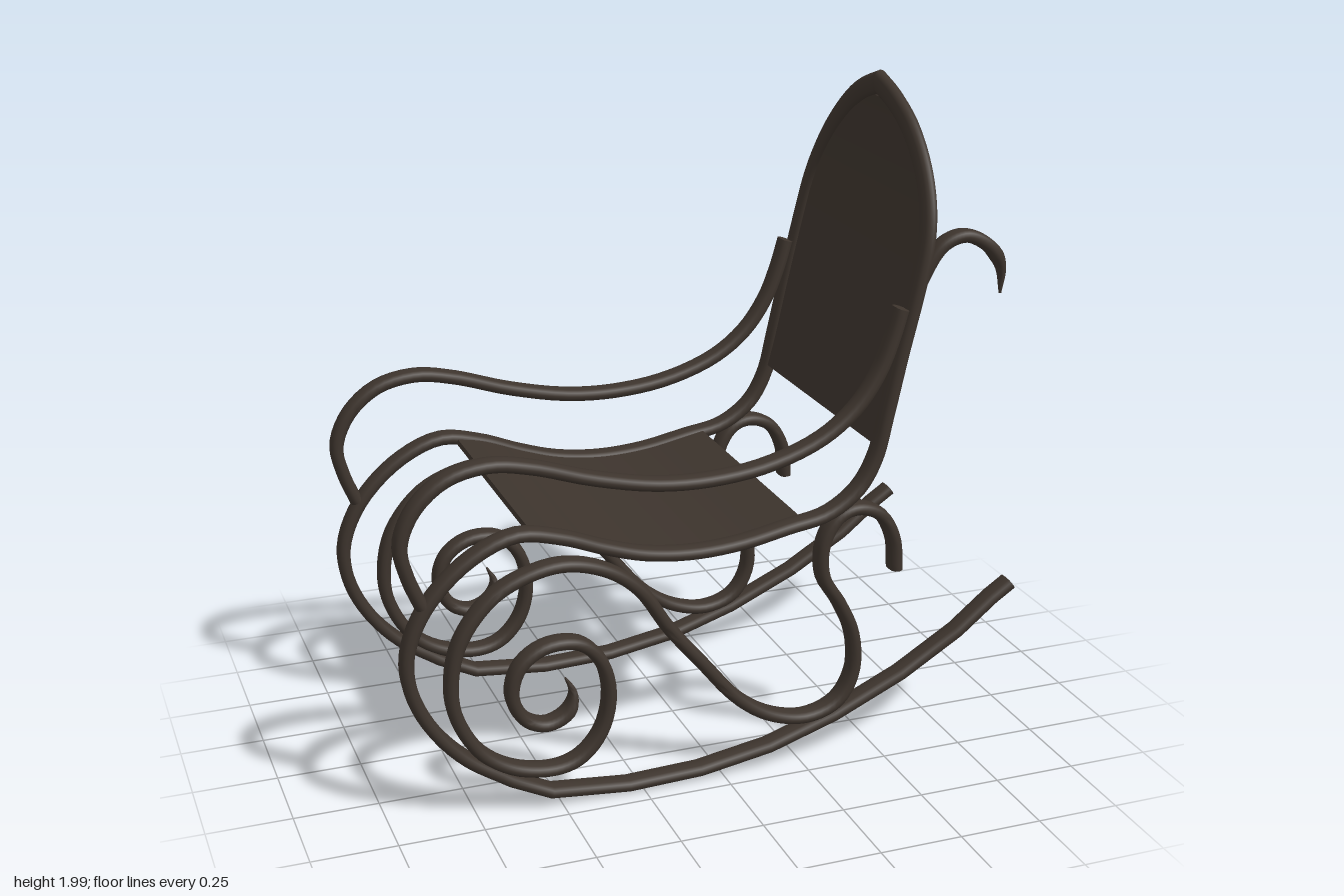
import * as THREE from 'three';
import { toCreasedNormals } from 'three/addons/utils/BufferGeometryUtils.js';

const RAIL_Z = 0.42;

// Cross-sections as [thin, wide] unit offsets
const ROUND = Array.from({ length: 12 }, (_, i) => {
  const a = (i / 12) * Math.PI * 2;
  const soft = (v) => Math.sign(v) * Math.abs(v) ** 0.8;
  return [soft(Math.cos(a)), soft(Math.sin(a))];
});
const FLAT = [[1, -1], [1, 1], [-1, 1], [-1, -1]];

// Sweeps a section along points; the thin axis stays in the xy plane.
// Size functions take the fraction along the path.
function sweep(pts, section, thin, wide, miter = false) {
  const pos = [], idx = [], n = section.length, last = pts.length - 1;
  pts.forEach((p, i) => {
    const T = pts[Math.min(i + 1, last)].clone().sub(pts[Math.max(i - 1, 0)]).normalize();
    const N = new THREE.Vector3(T.y, -T.x, 0).normalize();
    const W = T.clone().cross(N);
    for (const [a, b] of section) {
      const v = p.clone().addScaledVector(N, a * thin(i / last)).addScaledVector(W, b * wide(i / last));
      // the first ring is cut on the centre plane
      if (miter && i === 0) v.addScaledVector(T, -v.z / T.z);
      pos.push(v.x, v.y, v.z);
    }
  });
  for (let i = 0; i < last; i++) {
    for (let j = 0; j < n; j++) {
      const a = i * n + j, b = i * n + ((j + 1) % n);
      idx.push(a, b, a + n, b, b + n, a + n);
    }
  }
  // end caps
  for (let j = 1; j < n - 1; j++) {
    idx.push(0, j + 1, j, last * n, last * n + j, last * n + j + 1);
  }
  const g = new THREE.BufferGeometry();
  g.setAttribute('position', new THREE.Float32BufferAttribute(pos, 3));
  g.setIndex(idx);
  return toCreasedNormals(g, 0.9);
}

// [x, y] or [x, y, z] lists to vectors on one side
const vecs = (list, side) =>
  list.map(([x, y, z = RAIL_Z]) => new THREE.Vector3(x, y, z * side));
const smooth = (v, count) => new THREE.CatmullRomCurve3(v, false, 'centripetal').getPoints(count);

// Half of the back arch, back post, seat rail and front bow
const FRAME = [
  [0.655, 1.965, 0], [0.655, 1.93, 0.1], [0.655, 1.87, 0.205], [0.648, 1.78, 0.305],
  [0.637, 1.69, 0.37], [0.622, 1.6, 0.407], [0.597, 1.48], [0.545, 1.26], [0.505, 1.08],
  [0.473, 0.95], [0.42, 0.86], [0.325, 0.795], [0.2, 0.77], [0.05, 0.742], [-0.1, 0.735],
  [-0.24, 0.752], [-0.36, 0.788], [-0.49, 0.837], [-0.62, 0.86], [-0.76, 0.8], [-0.88, 0.68],
  [-0.935, 0.55], [-0.93, 0.44], [-0.88, 0.32], [-0.785, 0.205], [-0.65, 0.11],
];
// Rocker, left slightly faceted
const ROCKER = [
  [-0.53, 0.05], [-0.295, 0.027], [-0.07, 0.035], [0.15, 0.072], [0.36, 0.14],
  [0.58, 0.24], [0.765, 0.352], [0.88, 0.445], [0.94, 0.485],
];
const ARMREST = [
  [-0.89, 0.69], [-0.925, 0.78], [-0.942, 0.875], [-0.9, 0.975], [-0.81, 1.05], [-0.69, 1.075],
  [-0.57, 1.055], [-0.39, 0.998], [-0.2, 0.957], [-0.03, 0.95], [0.14, 0.972], [0.3, 1.03],
  [0.405, 1.11], [0.475, 1.21], [0.515, 1.31], [0.54, 1.395],
];
// Spiral, S-bend and rear crook
const SCROLL = [
  [-0.48, 0.4], [-0.458, 0.35], [-0.475, 0.295], [-0.54, 0.267], [-0.605, 0.295], [-0.64, 0.375],
  [-0.615, 0.46], [-0.54, 0.51], [-0.44, 0.505], [-0.375, 0.44], [-0.35, 0.335], [-0.375, 0.22],
  [-0.44, 0.145], [-0.52, 0.122], [-0.64, 0.145], [-0.735, 0.21], [-0.8, 0.325], [-0.815, 0.43],
  [-0.785, 0.565], [-0.69, 0.685], [-0.575, 0.74], [-0.47, 0.752], [-0.35, 0.715], [-0.255, 0.64],
  [-0.165, 0.505], [-0.06, 0.375], [0.05, 0.245], [0.155, 0.175], [0.27, 0.15], [0.37, 0.185],
  [0.42, 0.275], [0.415, 0.4], [0.37, 0.505], [0.315, 0.6], [0.315, 0.705], [0.36, 0.78],
  [0.42, 0.8], [0.495, 0.77], [0.54, 0.69], [0.55, 0.59],
];
const BACK_HOOK = [
  [0.54, 1.24, 0.41], [0.59, 1.43, 0.415], [0.63, 1.53, 0.42], [0.67, 1.577, 0.425],
  [0.73, 1.595, 0.433], [0.8, 1.56, 0.445], [0.837, 1.5, 0.45], [0.838, 1.42, 0.455],
];

export function createModel() {
  const model = new THREE.Group();
  model.name = 'rockingChair';
  const wood = new THREE.MeshStandardMaterial({ color: 0x3d342d });
  wood.name = 'darkBentwood';

  const add = (name, geometry) => {
    const mesh = new THREE.Mesh(geometry, wood);
    mesh.name = name;
    model.add(mesh);
  };
  const thin = () => 0.02;
  const wide = () => 0.035;

  // Bent rails, mirrored to both sides
  for (const [label, side] of [['front', 1], ['rear', -1]]) {
    const frame = [...smooth(vecs(FRAME, side), 110), ...vecs(ROCKER, side)];
    add(label + 'FrameAndRocker', sweep(frame, ROUND, thin, wide, true));
    add(label + 'Armrest', sweep(smooth(vecs(ARMREST, side), 64), ROUND, thin, wide));

    const tip = (t) => Math.min(1, 0.15 + t * 18);
    add(label + 'Scroll', sweep(smooth(vecs(SCROLL, side), 180), ROUND,
      (t) => 0.02 * tip(t), (t) => 0.035 * tip(t)));

    const taper = (t) => Math.min(1, 0.3 + t * 3, 0.15 + (1 - t) * 4);
    add(label + 'BackHook', sweep(smooth(vecs(BACK_HOOK, side), 40), ROUND,
      (t) => 0.02 * taper(t), (t) => 0.03 * taper(t)));
  }

  // Seat sheet following the seat rails
  const seat = smooth([
    [0.25, 0.78], [0.2, 0.77], [0.05, 0.742], [-0.1, 0.735], [-0.24, 0.752],
    [-0.36, 0.788], [-0.49, 0.837], [-0.57, 0.853],
  ].map(([x, y]) => new THREE.Vector3(x, y, 0)), 32);
  add('seat', sweep(seat, FLAT, () => 0.008, () => 0.395));

  // Back sheet: straight sides below, rounded top, rows packed toward the crown
  const backLine = new THREE.CatmullRomCurve3([
    [0.481, 0.985], [0.505, 1.08], [0.545, 1.26], [0.597, 1.48], [0.622, 1.6],
    [0.637, 1.69], [0.648, 1.78], [0.655, 1.87], [0.655, 1.925],
  ].map(([x, y]) => new THREE.Vector3(x, y, 0)), false, 'centripetal');
  const rows = 40;
  const rowAt = (f) => Math.sin(f * Math.PI / 2);
  const back = Array.from({ length: rows + 1 }, (_, i) => backLine.getPointAt(rowAt(i / rows)));
  const halfWidth = (f) => {
    const rise = Math.max(0, backLine.getPointAt(rowAt(f)).y - 1.45) / 0.475;
    return 0.392 * Math.sqrt(Math.max(0.001, 1 - rise * rise));
  };
  add('backPanel', sweep(back, FLAT, () => 0.008, halfWidth));

  return model;
}
